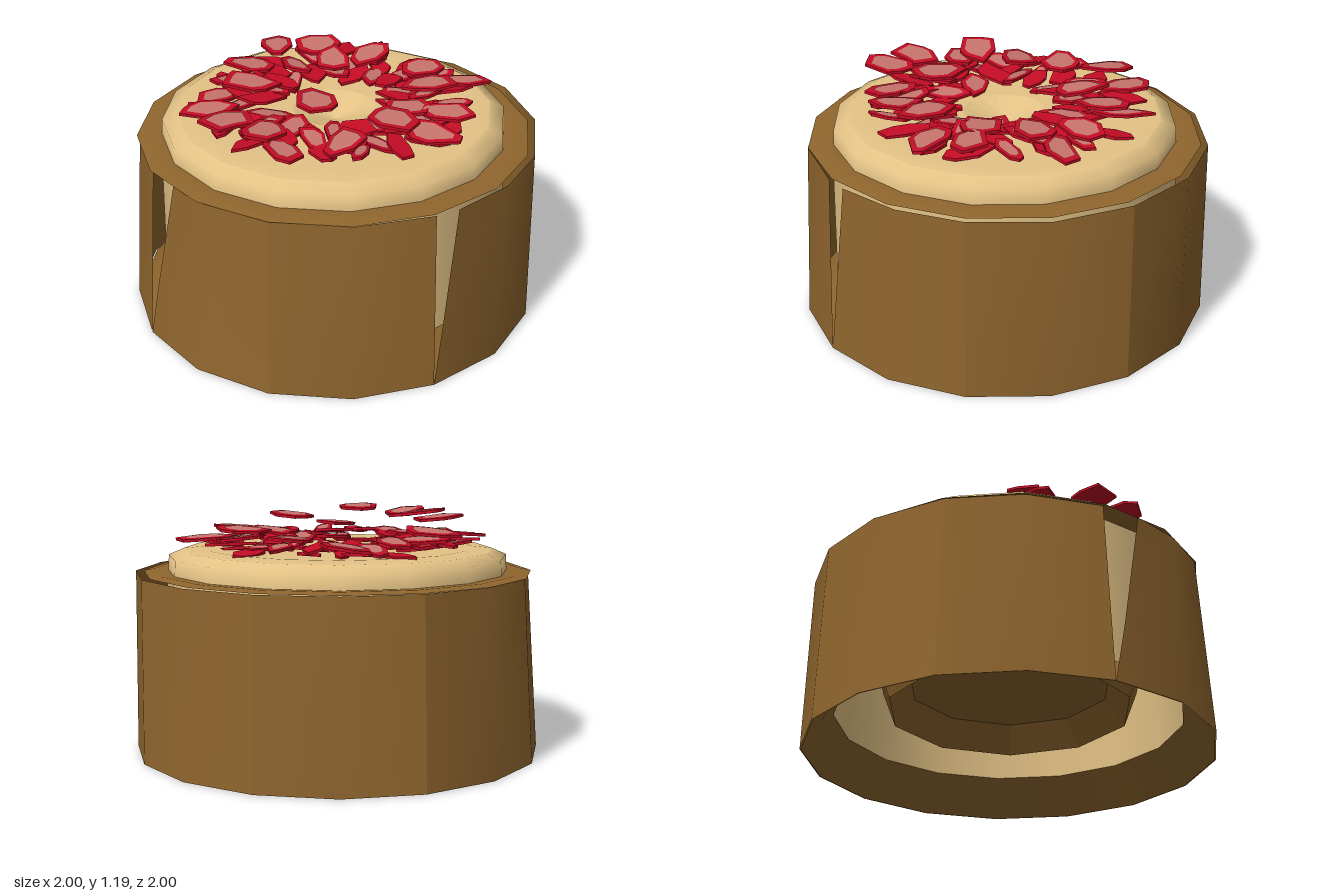
import * as THREE from 'three';

const paint = (name, color) => {
  const m = new THREE.MeshStandardMaterial({ color, side: THREE.DoubleSide });
  m.name = name;
  return m;
};

// small seeded generator
let seed = 7;
const rnd = (a, b) => {
  seed = (seed * 16807) % 2147483647;
  return a + (b - a) * (seed / 2147483647);
};

export function createModel() {
  seed = 7;
  const crust = paint('baked crust brown', 0x90662e);
  const cream = paint('custard cream', 0xe4c386);
  const red = paint('strawberry red', 0xc60c25);
  const pink = paint('strawberry flesh pink', 0xc8756d);

  const model = new THREE.Group();
  model.name = 'fruitTart';
  const add = (name, geometry, material, parent = model) => {
    const mesh = new THREE.Mesh(geometry, material);
    mesh.name = name;
    parent.add(mesh);
    return mesh;
  };
  const lathe = (pts, sides) =>
    new THREE.LatheGeometry(pts.map(([r, y]) => new THREE.Vector2(r, y)), sides);
  const faceted = (pts, sides) => {
    const g = lathe(pts, sides).toNonIndexed();
    g.computeVertexNormals();
    return g;
  };

  // outer crust: eight curved panels, two of them split open at the front;
  // the wall leans in more on the front and right than on the back and left
  const rows = [0, 0.3, 0.885];
  const rad = THREE.MathUtils.degToRad;
  const gaps = { 1: 7, 7: 12 };
  for (let p = 0; p < 8; p++) {
    const pos = [], index = [];
    rows.forEach((y, j) => {
      const t = y / 0.885;
      const start = 45 * p + (gaps[p] || 0) * t;
      const end = 45 * (p + 1);
      for (let i = 0; i <= 2; i++) {
        const a = rad(start + (end - start) * i / 2);
        const r = 1 - t * (0.033 - 0.02 * (Math.sin(a) - Math.cos(a)));
        pos.push(r * Math.sin(a), y, r * Math.cos(a));
        if (j < 2 && i < 2) {
          const k = j * 3 + i;
          index.push(k, k + 1, k + 4, k, k + 4, k + 3);
        }
      }
    });
    const g = new THREE.BufferGeometry();
    g.setAttribute('position', new THREE.Float32BufferAttribute(pos, 3));
    g.setIndex(index);
    g.computeVertexNormals();
    add('crustPanel' + p, g, crust);
  }
  add('crustRim', lathe([[0.955, 0.885], [0.9, 0.895], [0.81, 0.89]], 16), crust);
  add('crustFoot', lathe([[0.85, 0.18], [0.995, 0]], 16), crust);

  // hanging base under the filling, with a ridge round a hollow middle
  add('crustBase', faceted([[0, 0.28], [0.5, 0.35], [0.6, 0.22], [0.67, 0.4]], 10), crust);

  // filling: inner wall, rounded shoulder, flat top and dimpled centre
  add('fillingWall', lathe([[0.85, 0.18], [0.84, 0.89]], 16), cream);
  add('fillingSide', lathe([[0.835, 0.885], [0.83, 0.965], [0.76, 0.995]], 16), cream);
  add('fillingTop', lathe([[0.76, 0.995], [0.66, 1.005], [0.2, 0.995]], 16), cream);
  add('fillingCentre', faceted([[0.2, 0.995], [0, 0.93]], 16), cream);

  // one thin, angular fruit slice: red body with a pink cut face
  const fruit = new THREE.Group();
  fruit.name = 'strawberryTopping';
  model.add(fruit);
  const slice = (x, y, z, turn, len, wid, tilt, flesh) => {
    const outline = [];
    const n = 7;
    for (let i = 0; i < n; i++) {
      const a = (i + rnd(-0.3, 0.3)) / n * Math.PI * 2;
      const k = rnd(0.8, 1.2);
      outline.push(new THREE.Vector2(Math.cos(a) * wid * k, Math.sin(a) * len * k));
    }
    const group = new THREE.Group();
    group.name = 'strawberrySlice';
    group.position.set(x, y, z);
    group.rotation.set(rnd(-tilt, tilt), turn, rnd(-tilt, tilt), 'YXZ');
    fruit.add(group);
    const body = new THREE.ExtrudeGeometry(new THREE.Shape(outline), { depth: 0.014, bevelEnabled: false });
    add('sliceBody', body.rotateX(-Math.PI / 2), red, group);
    if (flesh) {
      const inner = outline.map(v => v.clone().multiplyScalar(flesh));
      const face = new THREE.ShapeGeometry(new THREE.Shape(inner));
      add('sliceFlesh', face.rotateX(-Math.PI / 2).translate(0, 0.017, 0), pink, group);
    }
  };

  // lower layer: overlapping shards fanned around the ring
  for (let i = 0; i < 60; i++) {
    const a = i / 60 * Math.PI * 2;
    const r = [0.33, 0.46, 0.57][i % 3];
    slice(Math.sin(a) * r, rnd(1.0, 1.045), Math.cos(a) * r, a + rnd(-1, 1),
      rnd(0.1, 0.15), rnd(0.04, 0.075), 0.14, i % 2 ? 0.7 : 0);
  }

  // upper layer: large slices as x, height, z
  const large = [
    [-0.27, 1.05, -0.57], [-0.45, 1.07, -0.45], [-0.49, 1.06, -0.2], [-0.48, 1.08, 0.02],
    [-0.36, 1.16, 0.2], [-0.35, 1.11, 0.52], [-0.13, 1.13, 0.6], [0.02, 1.17, 0.33],
    [0.2, 1.07, 0.49], [0.37, 1.12, 0.31], [0.58, 1.07, 0.06], [0.41, 1.08, -0.2],
    [0.55, 1.05, -0.35], [0.33, 1.06, -0.42], [0.03, 1.07, -0.48], [-0.12, 1.08, -0.34],
    [-0.52, 1.05, 0.32], [0.54, 1.05, 0.25], [0.38, 1.06, 0.05],
  ];
  for (const [x, y, z] of large)
    slice(x, y, z, Math.atan2(x, z) + rnd(-0.4, 0.4), rnd(0.125, 0.15), rnd(0.08, 0.11), 0.12, 0.74);

  return model;
}
